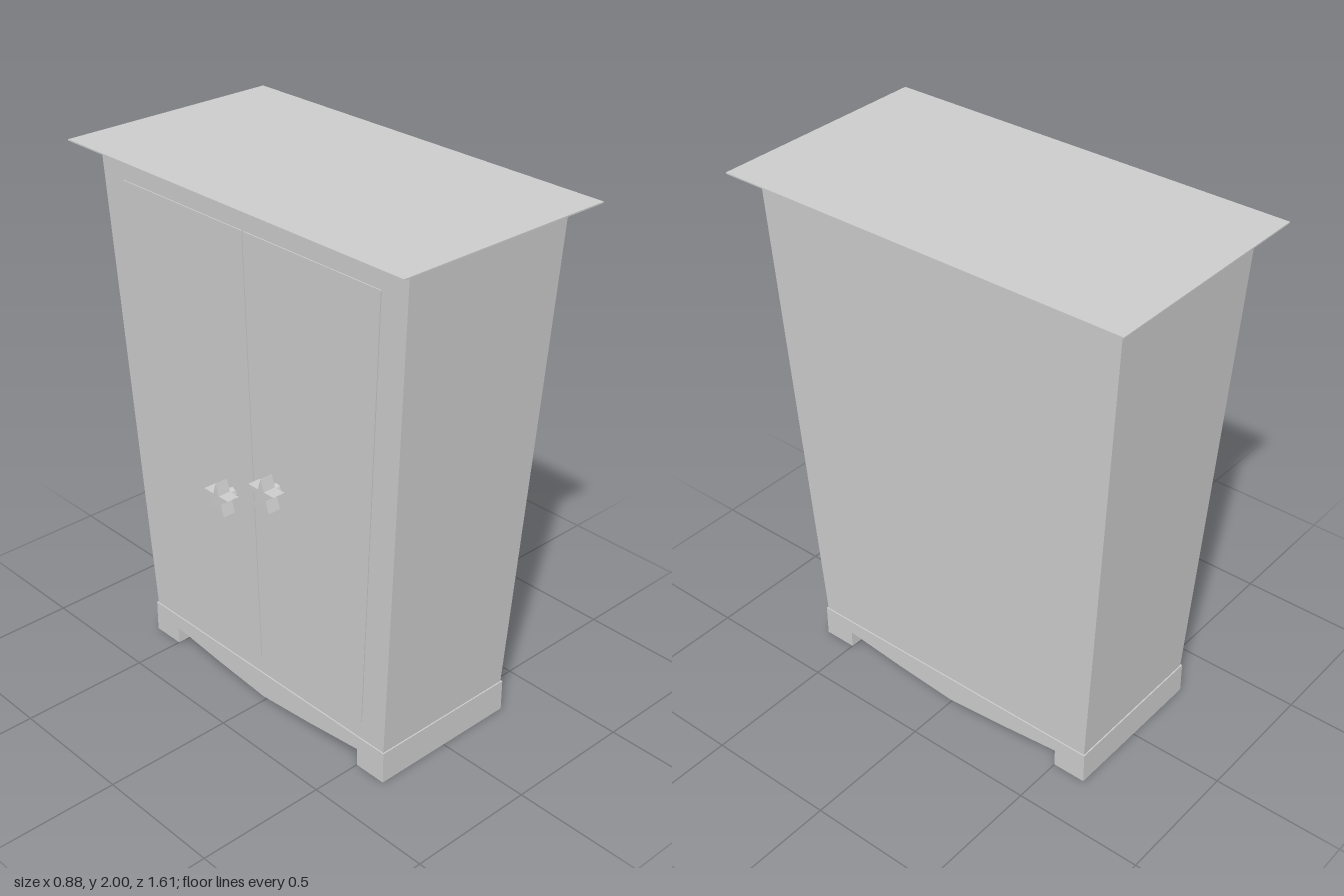
import * as THREE from 'three';

const material = new THREE.MeshStandardMaterial({ color: 0xcccccc, flatShading: true });
const Y0 = 0.125, Y1 = 1.96; // bottom and top of the tapered body
const taper = (y, a, b) => a + (b - a) * (y - Y0) / (Y1 - Y0);
const halfX = y => taper(y, 0.3, 0.35);
const halfZ = y => taper(y, 0.625, 0.74);

// Box whose eight corners are placed by a rule taking the signs of x, y and z
function block(rule) {
  const g = new THREE.BoxGeometry(2, 2, 2).toNonIndexed();
  const p = g.attributes.position;
  for (let i = 0; i < p.count; i++) p.setXYZ(i, ...rule(p.getX(i), p.getY(i), p.getZ(i)));
  g.computeVertexNormals();
  return g;
}

function starShape(radius) {
  const pts = [];
  for (let i = 0; i < 10; i++) {
    const r = i % 2 ? radius * 0.382 : radius;
    const a = Math.PI / 2 + i * Math.PI / 5;
    pts.push(new THREE.Vector2(r * Math.cos(a), r * Math.sin(a)));
  }
  return new THREE.Shape(pts);
}

export function createModel() {
  const group = new THREE.Group();
  const add = (name, geometry, parent = group) => {
    const mesh = new THREE.Mesh(geometry, material);
    mesh.name = name;
    parent.add(mesh);
    return mesh;
  };

  // Plinth with two feet and a bowed apron between them
  const half = [[0.63, Y0], [0.63, 0], [0.5, 0], [0.5, 0.07], [0.25, 0.042]];
  const outline = [...half, [0, 0.02], ...half.map(([z, y]) => [-z, y]).reverse()];
  const plinth = new THREE.Shape(outline.map(([z, y]) => new THREE.Vector2(z, y)));
  add('plinth', new THREE.ExtrudeGeometry(plinth, { depth: 0.61, bevelEnabled: false })
    .translate(0, 0, -0.305).rotateY(Math.PI / 2));

  // Cabinet body, widening upward
  add('cabinetBody', block((sx, sy, sz) => {
    const y = sy > 0 ? Y1 : Y0;
    return [sx * halfX(y), y, sz * halfZ(y)];
  }));

  // Flared cornice and its thin top board
  add('cornice', block((sx, sy, sz) => sy > 0
    ? [sx * 0.44, 1.995, sz * 0.805]
    : [sx * 0.345, 1.955, sz * 0.735]));
  add('topBoard', new THREE.BoxGeometry(0.88, 0.005, 1.61).translate(0, 1.9975, 0));

  for (const side of [-1, 1]) {
    // Slightly raised door leaf following the slope of the body
    add(side > 0 ? 'frontDoor' : 'rearDoor', block((sx, sy, sz) => {
      const y = sy > 0 ? 1.88 : 0.2;
      const x = -halfX(y) + (sx > 0 ? 0.01 : -0.004);
      const outer = sz === side;
      return [x, y, side * (outer ? halfZ(y) - 0.11 : 0.006)];
    }));

    // Star knob on a short stem
    const knob = new THREE.Group();
    knob.name = side > 0 ? 'frontDoorKnob' : 'rearDoorKnob';
    knob.position.set(0, side > 0 ? 0.975 : 0.854, side * 0.12);
    add('knobStar', new THREE.ExtrudeGeometry(starShape(0.067), { depth: 0.05, bevelEnabled: false })
      .rotateY(-Math.PI / 2).translate(-0.35, 0, 0), knob);
    add('knobStem', new THREE.CylinderGeometry(0.022, 0.022, 0.05, 8)
      .rotateZ(Math.PI / 2).translate(-0.33, 0, 0), knob);
    group.add(knob);
  }
  return group;
}
